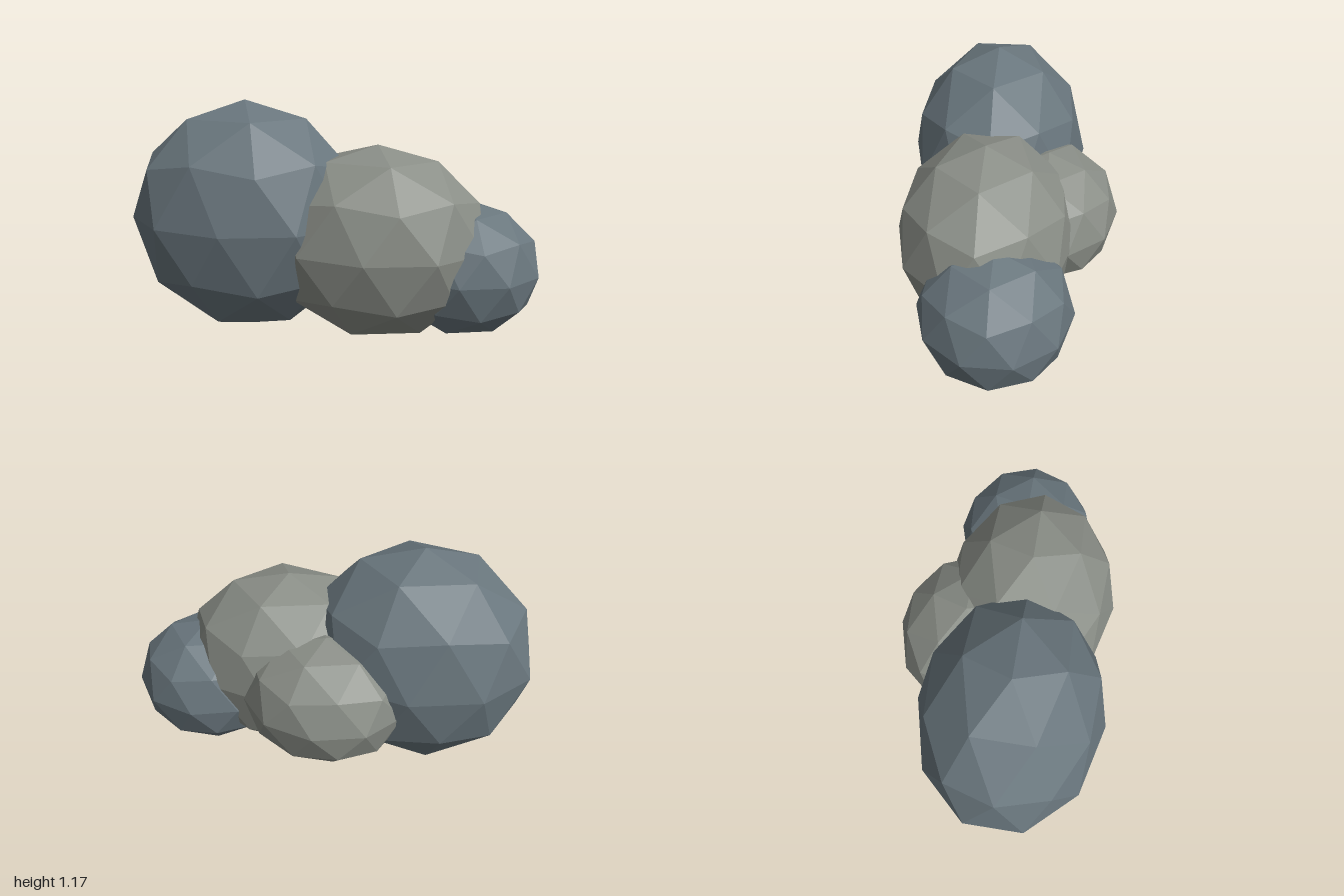
import * as THREE from 'three';

// Faceted boulder: an icosphere with a vertex at each pole, stretched per axis
function boulder(name, color, position, radii) {
  const geometry = new THREE.IcosahedronGeometry(1, 1);
  geometry.rotateZ(-Math.atan(2 / (1 + Math.sqrt(5)))); // bring a vertex to the top
  geometry.scale(...radii);
  const material = new THREE.MeshStandardMaterial({ color, flatShading: true });
  const mesh = new THREE.Mesh(geometry, material);
  mesh.name = name;
  mesh.position.set(...position);
  return mesh;
}

export function createModel() {
  const group = new THREE.Group();
  group.name = 'rockCluster';
  const slate = 0x69767d;
  const stone = 0x8a8e87;

  group.add(
    boulder('largeBoulder', slate, [-0.444, 0.593, 0.088], [0.585, 0.582, 0.463]),
    boulder('middleBoulder', stone, [0.217, 0.488, 0.088], [0.55, 0.483, 0.442]),
    boulder('smallBoulder', slate, [0.636, 0.358, 0.009], [0.383, 0.338, 0.364]),
    boulder('backBoulder', stone, [-0.025, 0.472, -0.197], [0.415, 0.333, 0.358]),
  );
  return group;
}
